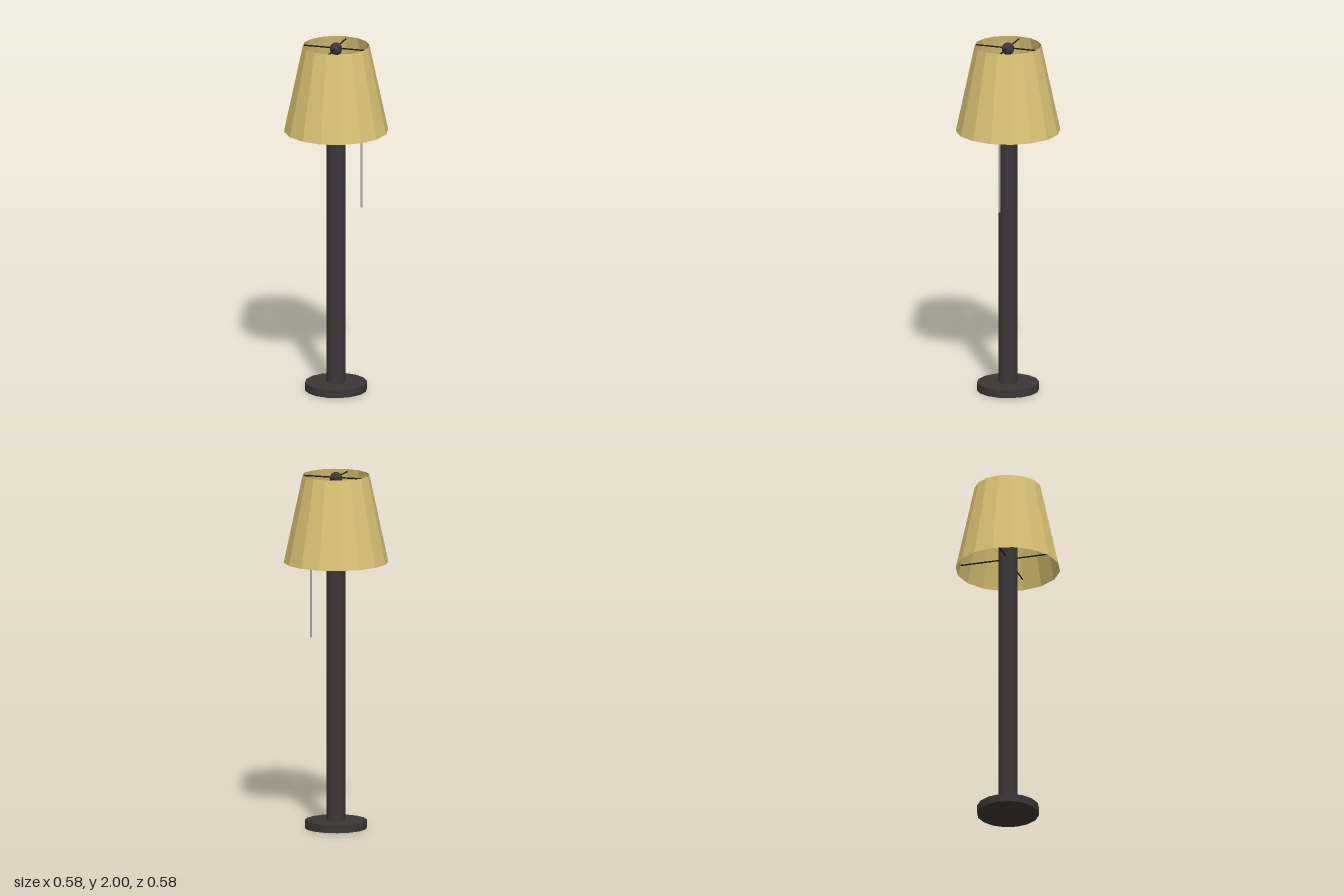
import * as THREE from 'three';

const SIDES = 16;
const dark = new THREE.MeshStandardMaterial({ color: 0x3a3837 });
const black = new THREE.MeshStandardMaterial({ color: 0x1c1a19 });
const metal = new THREE.MeshStandardMaterial({ color: 0xa8a8a8 });
const glass = new THREE.MeshStandardMaterial({ color: 0xf0d2a4 });
const fabric = new THREE.MeshStandardMaterial({
  color: 0xdac374, flatShading: true, side: THREE.DoubleSide,
});

function add(parent, name, geometry, material, y, x = 0) {
  const mesh = new THREE.Mesh(geometry, material);
  mesh.name = name;
  mesh.position.set(x, y, 0);
  parent.add(mesh);
  return mesh;
}

// Upright cylinder between two heights
function column(parent, name, radius, y0, y1, material, sides = SIDES, x = 0) {
  const geometry = new THREE.CylinderGeometry(radius, radius, y1 - y0, sides);
  return add(parent, name, geometry, material, (y0 + y1) / 2, x);
}

// Four-armed wire cross that carries the shade
function spider(parent, name, radius, y) {
  const group = new THREE.Group();
  group.name = name;
  group.position.y = y;
  for (let i = 0; i < 2; i++) {
    const bar = add(group, 'spiderBar', new THREE.CylinderGeometry(0.004, 0.004, radius * 2, 8), black, 0);
    bar.rotation.set(i ? Math.PI / 2 : 0, 0, i ? 0 : Math.PI / 2);
  }
  parent.add(group);
}

export function createModel() {
  const lamp = new THREE.Group();
  lamp.name = 'floorLamp';

  // Stand
  column(lamp, 'base', 0.172, 0, 0.045, dark);
  column(lamp, 'pole', 0.052, 0.045, 1.69, dark);

  // Bulb on top of the pole
  add(lamp, 'bulb', new THREE.SphereGeometry(0.079, SIDES, 12), glass, 1.755);

  // Open tapered shade
  const y0 = 1.495, y1 = 1.985;
  add(lamp, 'shade', new THREE.CylinderGeometry(0.185, 0.29, y1 - y0, SIDES, 1, true), fabric, (y0 + y1) / 2);

  // Shade supports and finial
  spider(lamp, 'topSpider', 0.185, 1.97);
  spider(lamp, 'bottomSpider', 0.275, 1.555);
  add(lamp, 'finial', new THREE.SphereGeometry(0.035, SIDES, 12), dark, 1.965);

  // Pull cord hanging from the lower support
  column(lamp, 'pullCord', 0.006, 1.063, 1.56, metal, 8, 0.147);

  return lamp;
}
